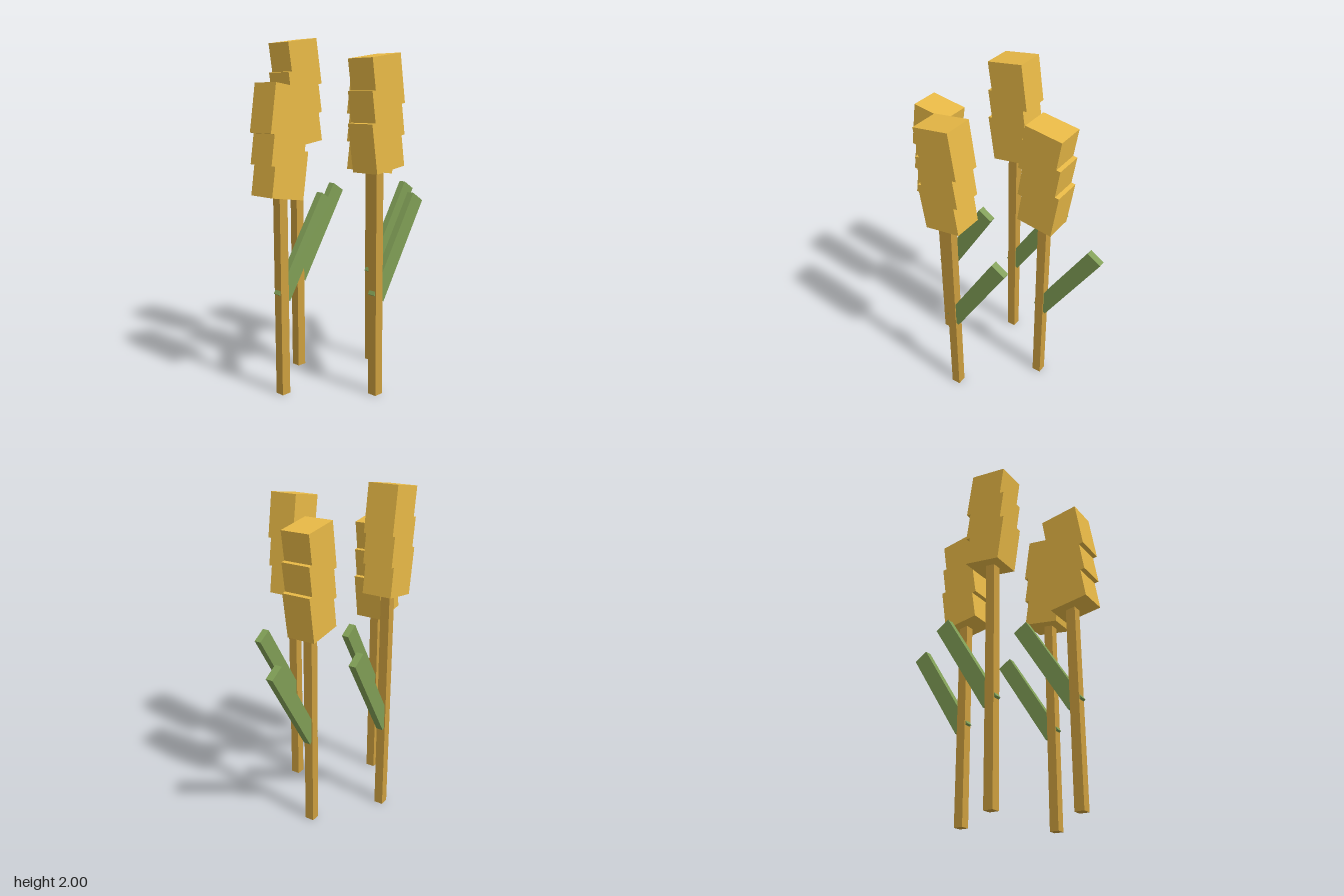
import * as THREE from 'three';

const material = (color) => new THREE.MeshStandardMaterial({ color, flatShading: true });

export function createModel() {
  const model = new THREE.Group();
  model.name = 'wheatStalks';

  const stemMat = material(0xcb9e3e);
  const grainMat = material(0xe8b946);
  const leafMat = material(0x7f9d55);

  const grainGeo = new THREE.BoxGeometry(0.22, 0.265, 0.175);
  const leafGeo = new THREE.BoxGeometry(0.096, 0.63, 0.043);
  const grainStep = 0.168;

  const addPart = (parent, name, geometry, mat, x, y, tilt = 0) => {
    const mesh = new THREE.Mesh(geometry, mat);
    mesh.name = name;
    mesh.position.set(x, y, 0);
    mesh.rotation.z = tilt;
    parent.add(mesh);
  };

  // One stalk: square stem, slanted leaf, and a head of three tilted overlapping blocks
  const addStalk = (name, x, z, headY, tilt) => {
    const stalk = new THREE.Group();
    stalk.name = name;
    stalk.position.set(x, 0, z);

    addPart(stalk, 'stem', new THREE.BoxGeometry(0.055, headY, 0.055), stemMat, 0, headY / 2);
    addPart(stalk, 'leaf', leafGeo, leafMat, 0.167, 0.828, -0.555);

    const head = new THREE.Group();
    head.name = 'head';
    for (let i = 0; i < 3; i++) {
      addPart(head, 'grainBlock', grainGeo, grainMat, 0, headY + i * grainStep, tilt);
    }
    stalk.add(head);
    model.add(stalk);
  };

  // headY is the centre height of the lowest block
  addStalk('rightStalk', -0.492, -0.056, 1.252, -0.15);
  addStalk('leftStalk', 0.243, -0.056, 1.341, -0.15);
  addStalk('backStalk', -0.136, -0.323, 1.517, 0.15);
  addStalk('frontStalk', -0.136, 0.323, 1.407, 0.15);

  return model;
}
